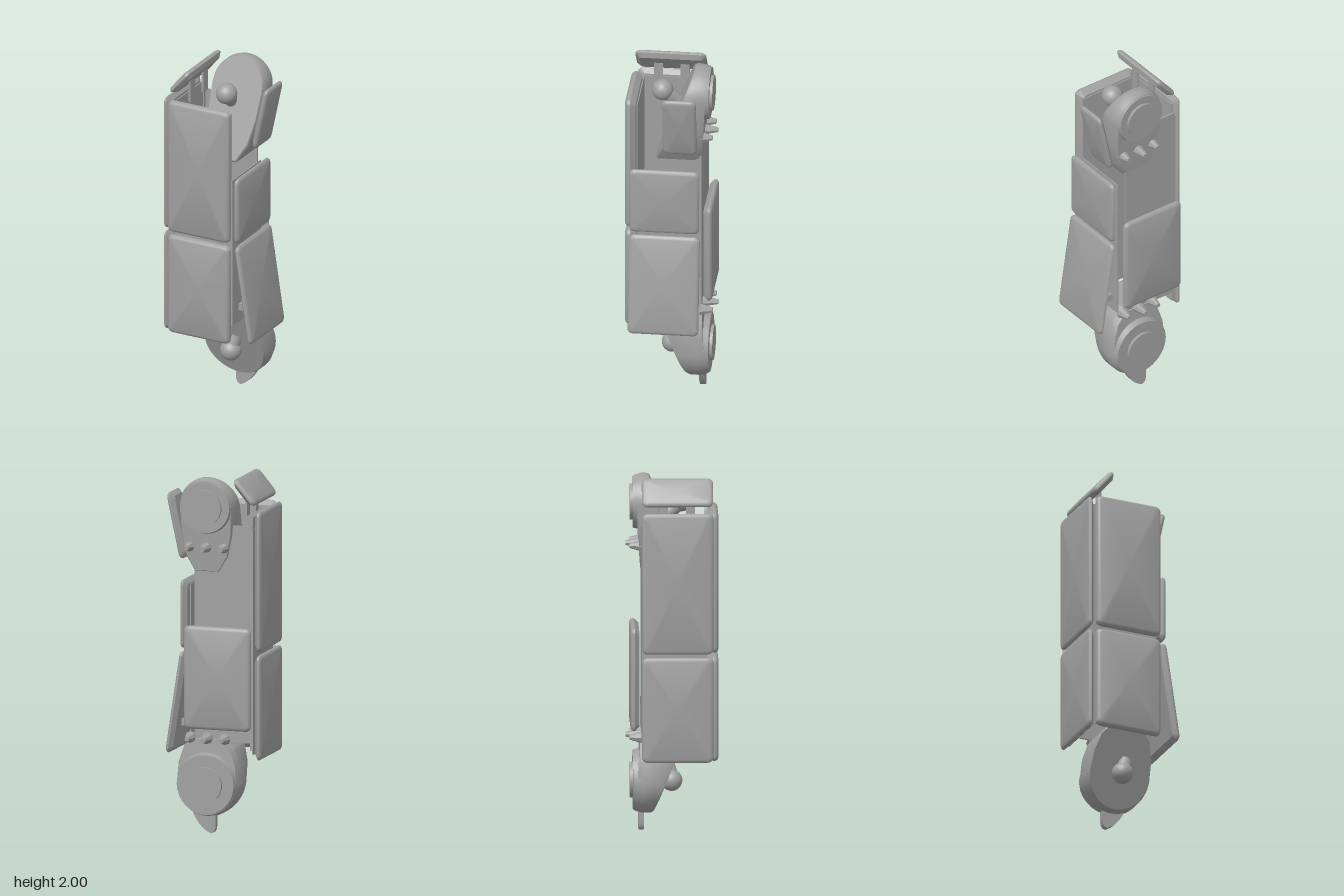
import * as THREE from 'three';
import { toCreasedNormals } from 'three/addons/utils/BufferGeometryUtils.js';

const shell = new THREE.MeshStandardMaterial({ color: 0xa0a0a0 });
shell.name = 'grey shell';

function add(parent, name, geometry, x = 0, y = 0, z = 0) {
  const mesh = new THREE.Mesh(geometry, shell);
  mesh.name = name;
  mesh.position.set(x, y, z);
  parent.add(mesh);
  return mesh;
}

// Closed solid from rings that run counter-clockwise and stack toward +z
function loft(rings) {
  const n = rings[0].length, pos = [], idx = [];
  rings.flat().forEach(p => pos.push(p.x, p.y, p.z));
  for (let r = 0; r < rings.length - 1; r++) {
    for (let i = 0; i < n; i++) {
      const j = (i + 1) % n, a = r * n + i, b = r * n + j;
      idx.push(a, b, b + n, a, b + n, a + n);
    }
  }
  [0, rings.length - 1].forEach((r, end) => {
    const c = new THREE.Vector3();
    rings[r].forEach(p => c.addScaledVector(p, 1 / n));
    const k = pos.length / 3;
    pos.push(c.x, c.y, c.z);
    for (let i = 0; i < n; i++) {
      const a = r * n + i, b = r * n + (i + 1) % n;
      if (end) idx.push(k, a, b); else idx.push(k, b, a);
    }
  });
  const g = new THREE.BufferGeometry();
  g.setAttribute('position', new THREE.Float32BufferAttribute(pos, 3));
  g.setIndex(idx);
  return toCreasedNormals(g, 0.6);
}

function roundedRect(w, h, r, z) {
  const pts = [];
  for (let c = 0; c < 4; c++) {
    const sx = c === 0 || c === 3 ? 1 : -1, sy = c < 2 ? 1 : -1;
    for (let i = 0; i <= 5; i++) {
      const a = (c + i / 5) * Math.PI / 2;
      pts.push(new THREE.Vector3(sx * (w / 2 - r) + r * Math.cos(a), sy * (h / 2 - r) + r * Math.sin(a), z));
    }
  }
  return pts;
}

// Cover panel: chamfered inside, soft rounded rim outside (local +z)
function panelGeometry(w, h, t) {
  const profile = [[0.025, 0], [0, 0.5], [0, 0.65], [0.003, 0.8], [0.01, 0.93], [0.02, 1]];
  return loft(profile.map(([inset, k]) =>
    roundedRect(w - 2 * inset, h - 2 * inset, 0.03 - inset * 0.5, (k - 0.5) * t)));
}

// Tapered end housing with a sloped front, round back boss, ball stud and spikes
function endUnit(name, r, len, tipZ, ballZ) {
  const unit = new THREE.Group();
  unit.name = name;
  const outline = [[0.45 * r, -len], [0.8 * r, -len * 0.75], [0.96 * r, -len * 0.4]];
  const left = outline.map(([x, y]) => [-x, y]).reverse();
  for (let i = 0; i <= 28; i++) {
    const a = Math.PI * i / 28;
    outline.push([r * Math.cos(a), r * Math.sin(a)]);
  }
  outline.push(...left);
  const backZ = y => -0.165 - 0.035 * (y + len) / (r + len);
  const frontZ = y => tipZ + (r - y) * 0.4;
  const ring = (s, f) => outline.map(([x, y]) => new THREE.Vector3(x * s, y * s, f(y * s)));
  add(unit, name + 'Housing', loft([
    ring(0.93, y => backZ(y) - 0.008),
    ring(1, y => backZ(y) + 0.03),
    ring(1, y => frontZ(y) - 0.012),
    ring(0.97, frontZ),
  ]));

  // Round back boss
  const boss = add(unit, 'backBoss', toCreasedNormals(new THREE.CylinderGeometry(r * 0.97, r * 0.9, 0.045, 40), 0.5), 0, 0, -0.193);
  boss.rotation.x = Math.PI / 2;
  const cap = add(unit, 'backCap', toCreasedNormals(new THREE.CylinderGeometry(0.1, 0.1, 0.02, 36), 0.5), 0, 0, -0.222);
  cap.rotation.x = Math.PI / 2;

  // Ball stud on a slanted neck
  const ball = new THREE.Vector3(0, 0.005, ballZ);
  const foot = new THREE.Vector3(-0.025, -0.085, frontZ(-0.08) - 0.015);
  add(unit, 'ball', new THREE.SphereGeometry(0.06, 28, 18), ball.x, ball.y, ball.z);
  const axis = ball.clone().sub(foot);
  const neck = add(unit, 'ballNeck', new THREE.CylinderGeometry(0.045, 0.035, axis.length(), 20));
  neck.position.copy(ball).add(foot).multiplyScalar(0.5);
  neck.quaternion.setFromUnitVectors(new THREE.Vector3(0, 1, 0), axis.normalize());

  // Row of spikes behind the boss
  [[-0.1, 0.07], [0, 0.09], [0.1, 0.07]].forEach(([x, l]) => {
    const spike = add(unit, 'spike', toCreasedNormals(new THREE.CylinderGeometry(0.014, 0.034, l, 8), 0.3), x, -r - 0.07, -0.165 - l / 2);
    spike.rotation.x = -Math.PI / 2;
  });
  return unit;
}

export function createModel() {
  const model = new THREE.Group();
  const H = Math.PI / 2;

  // Cover panels: name, width, height, thickness, centre, turn, tilt
  [
    ['frontUpperPanel', 0.39, 0.79, 0.06, [-0.05, 1.425, 0.225], 0, 0],
    ['frontLowerPanel', 0.39, 0.59, 0.06, [-0.05, 0.715, 0.225], 0, 0],
    ['rightUpperPanel', 0.395, 0.79, 0.038, [-0.266, 1.425, 0.028], -H, 0],
    ['rightLowerPanel', 0.395, 0.59, 0.038, [-0.266, 0.715, 0.028], -H, 0],
    ['rightTopPanel', 0.395, 0.18, 0.045, [-0.183, 1.922, 0.028], -H, -0.7],
    ['leftMiddlePanel', 0.39, 0.385, 0.04, [0.17, 1.22, 0.03], H, 0],
    ['leftLowerPanel', 0.395, 0.58, 0.04, [0.215, 0.72, 0.028], H, 0.15],
    ['leftUpperPanel', 0.19, 0.375, 0.04, [0.217, 1.715, -0.06], H, -0.21],
    ['backPanel', 0.39, 0.58, 0.05, [-0.05, 0.88, -0.208], Math.PI, 0],
  ].forEach(([name, w, h, t, p, turn, tilt]) => {
    const panel = add(model, name, panelGeometry(w, h, t), ...p);
    panel.rotation.set(0, turn, tilt, 'ZYX');
  });

  // Inner frame of thin plates
  const plate = (name, w, h, d, x, y, z) => add(model, name, new THREE.BoxGeometry(w, h, d), x, y, z);
  plate('frontPlate', 0.36, 1.34, 0.006, -0.05, 1.12, 0.187);
  plate('rightPlate', 0.006, 1.34, 0.34, -0.235, 1.12, 0.02);
  plate('backPlate', 0.34, 1.22, 0.01, -0.07, 1.13, -0.165);
  plate('leftPlate', 0.006, 0.88, 0.33, 0.132, 0.95, 0.022);
  plate('backEdge', 0.02, 1.25, 0.03, -0.235, 1.1, -0.155);

  // Panel standoffs
  [[0.15, 0.85, 0.1], [0.15, 0.85, -0.08], [0.165, 0.6, 0.1], [0.165, 0.6, -0.08], [0.17, 1.7, -0.06]]
    .forEach(([x, y, z]) => plate('standoff', 0.07, 0.04, 0.03, x, y, z));
  [0.1, -0.05].forEach(z => {
    plate('topHinge', 0.012, 0.14, 0.05, -0.17, 1.85, z);
  });

  // Slotted cross bracket
  const bracket = new THREE.Shape(roundedRect(0.09, 0.11, 0.01, 0).map(p => new THREE.Vector2(p.x, p.y)));
  bracket.holes.push(new THREE.Path(roundedRect(0.045, 0.05, 0.012, 0).map(p => new THREE.Vector2(p.x, p.y))));
  const cross = add(model, 'crossBracket',
    new THREE.ExtrudeGeometry(bracket, { depth: 0.008, bevelEnabled: false }), 0, 1.02, 0.13);
  cross.rotation.x = H;

  // End units, the lower one turned upside down
  const upper = endUnit('upperEnd', 0.16, 0.39, -0.13, 0.055);
  upper.position.set(0.025, 1.84, 0);
  const lower = endUnit('lowerEnd', 0.185, 0.27, -0.11, 0);
  lower.position.set(0.022, 0.277, 0);
  lower.rotation.z = Math.PI;
  model.add(upper, lower);

  // Bottom tail fin
  const fin = new THREE.Shape();
  fin.moveTo(-0.03, 0.13);
  fin.lineTo(-0.03, 0.05);
  fin.quadraticCurveTo(-0.03, 0, 0, 0);
  fin.quadraticCurveTo(0.07, 0.03, 0.11, 0.13);
  add(model, 'tailFin', new THREE.ExtrudeGeometry(fin, {
    depth: 0.03, bevelEnabled: false, curveSegments: 8,
  }), 0, 0, -0.185);

  return model;
}
